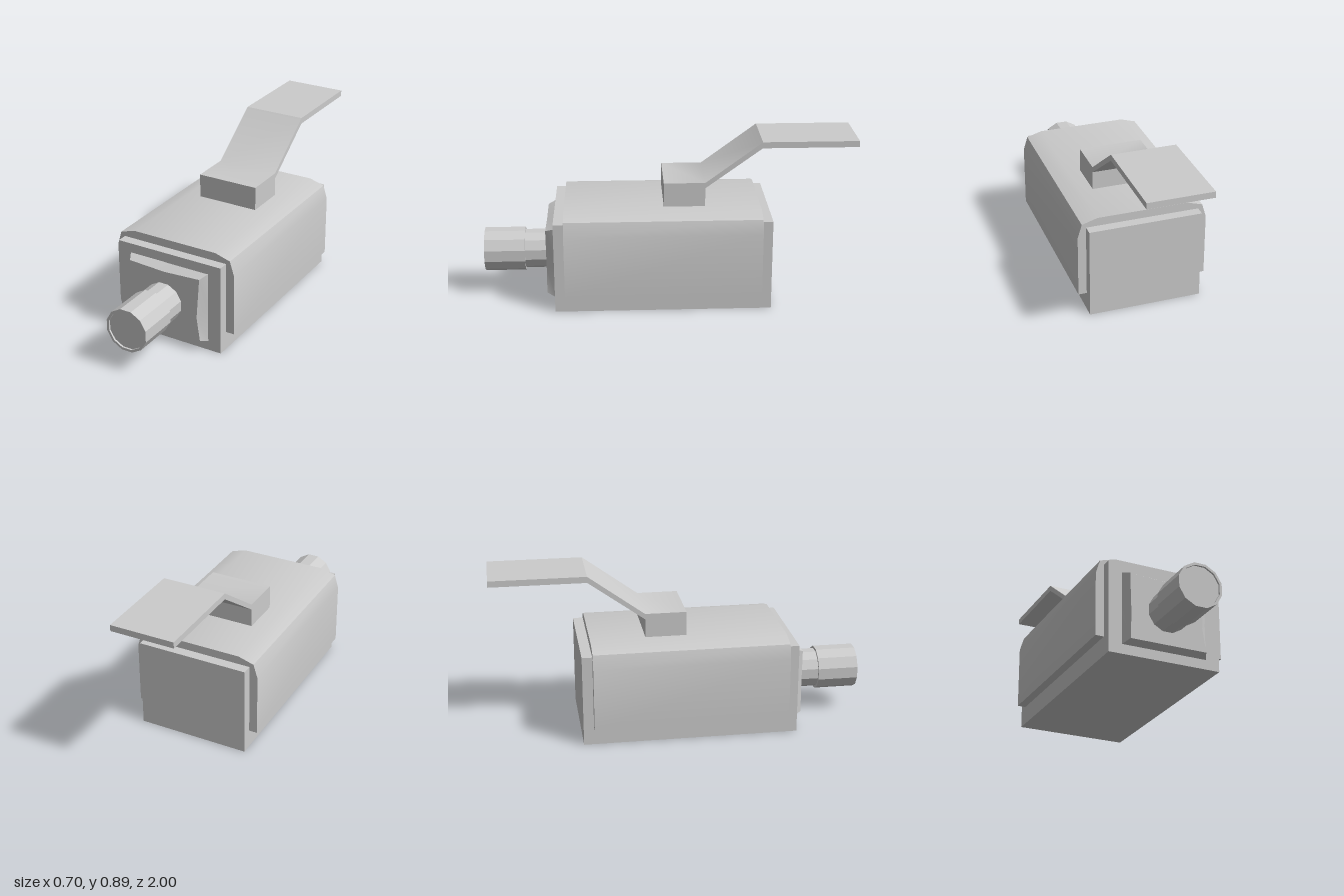
import * as THREE from 'three';
import { toCreasedNormals } from 'three/addons/utils/BufferGeometryUtils.js';

const flat = new THREE.MeshStandardMaterial({ color: 0xcccccc, flatShading: true });
const smooth = new THREE.MeshStandardMaterial({ color: 0xcccccc });

const shapeOf = (pts) => new THREE.Shape(pts.map(([x, y]) => new THREE.Vector2(x, y)));

// Extrudes an x,y outline from z0 to z1
function extrudeZ(pts, z0, z1) {
  const g = new THREE.ExtrudeGeometry(shapeOf(pts), { depth: z1 - z0, bevelEnabled: false });
  return g.translate(0, 0, z0);
}

// Extrudes a z,y side outline from x0 to x1
function extrudeX(pts, x0, x1) {
  const side = pts.map(([z, y]) => [-z, y]);
  return extrudeZ(side, x0, x1).rotateY(Math.PI / 2);
}

// Front plate: two matching rings of corners and mid-edge points, capped in front
function plateGeometry() {
  const back = [[-0.235, 0.05], [0, 0.05], [0.235, 0.05], [0.235, 0.247],
    [0.235, 0.445], [0, 0.445], [-0.235, 0.445], [-0.235, 0.247]];
  const front = [[-0.208, 0.07], [0, 0.07], [0.208, 0.07], [0.19, 0.2],
    [0.208, 0.425], [0, 0.414], [-0.208, 0.425], [-0.203, 0.2]];
  const z0 = 0.61, z1 = 0.66, pos = [];
  const n = back.length;
  for (let i = 0; i < n; i++) {
    const j = (i + 1) % n;
    pos.push(...back[i], z0, ...back[j], z0, ...front[j], z1);
    pos.push(...back[i], z0, ...front[j], z1, ...front[i], z1);
    pos.push(0, 0.247, z1, ...front[i], z1, ...front[j], z1);
  }
  const g = new THREE.BufferGeometry();
  g.setAttribute('position', new THREE.Float32BufferAttribute(pos, 3));
  return toCreasedNormals(g, 0.6);
}

export function createModel() {
  const model = new THREE.Group();
  model.name = 'leverSwitch';
  const add = (name, geometry, material = flat) => {
    const mesh = new THREE.Mesh(geometry, material);
    mesh.name = name;
    model.add(mesh);
    return mesh;
  };

  // Main housing
  add('body', new THREE.BoxGeometry(0.61, 0.495, 1.155).translate(0, 0.2475, 0.0375));

  // Cover wrapped over the top and sides
  const half = [[0.35, 0.1], [0.35, 0.44], [0.327, 0.515], [0.243, 0.54]];
  const mirrored = half.map(([x, y]) => [-x, y]).reverse();
  add('cover', toCreasedNormals(extrudeZ([...half, ...mirrored], -0.485, 0.56), 0.7), smooth);

  // Bevelled plate on the front
  add('frontPlate', plateGeometry(), smooth);

  // Twelve-sided plunger with a stepped head and a shallow recess
  const profile = [[0.106, 0.65], [0.106, 0.78], [0.119, 0.78], [0.119, 1],
    [0.106, 1], [0.106, 0.99], [0, 0.99]].map(([r, y]) => new THREE.Vector2(r, y));
  const plunger = add('plunger', new THREE.LatheGeometry(profile, 12, Math.PI / 12).rotateX(Math.PI / 2));
  plunger.position.set(-0.005, 0.243, 0);

  // Lever: mounting block running into the sloped arm, then the flat tip
  const arm = [[0.03, 0.53], [0.03, 0.67], [-0.19, 0.67], [-0.49, 0.89],
    [-0.49, 0.857], [-0.19, 0.64], [-0.19, 0.53]];
  add('leverArm', toCreasedNormals(extrudeX(arm, -0.17, 0.174), 0.7), smooth);
  const tip = [[-0.49, 0.857], [-0.49, 0.89], [-1, 0.89], [-1, 0.857]];
  add('leverTip', extrudeX(tip, -0.17, 0.174));

  return model;
}
